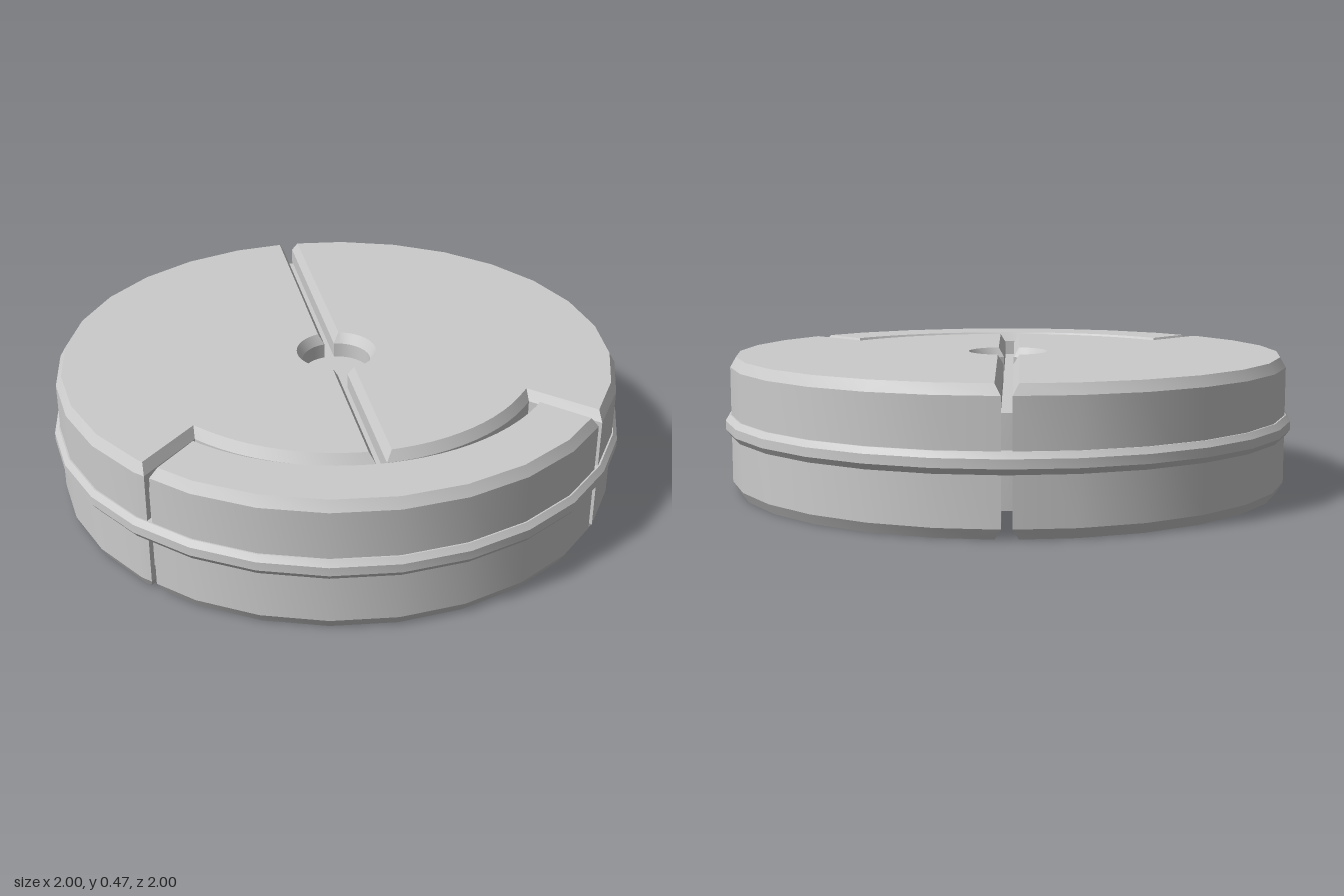
import * as THREE from 'three';
import { toCreasedNormals } from 'three/addons/utils/BufferGeometryUtils.js';

const SIDES = 28;
const STEP = (Math.PI * 2) / SIDES;
const RIM = 0.98;
const HEIGHT = 0.47;
const BEVEL_W = 0.02;
const BEVEL_H = 0.035;
const rad = THREE.MathUtils.degToRad;

// Point on the faceted rim at a given angle (0 = +x, 90 degrees = +z)
function rimPoint(a) {
  const off = a - (Math.floor(a / STEP) + 0.5) * STEP;
  const r = (RIM * Math.cos(STEP / 2)) / Math.cos(off);
  return new THREE.Vector2(r * Math.cos(a), r * Math.sin(a));
}

// Rim run from angle a down to angle b, with a corner at every facet edge
function rimRun(a, b) {
  const pts = [rimPoint(a)];
  for (let k = Math.floor(a / STEP); k * STEP > b; k--) {
    if (a - k * STEP > 0.01 && k * STEP - b > 0.01) pts.push(rimPoint(k * STEP));
  }
  pts.push(rimPoint(b));
  return pts;
}

function arc(r, a, b, n) {
  return Array.from({ length: n + 1 }, (_, i) => {
    const t = a + ((b - a) * i) / n;
    return new THREE.Vector2(r * Math.cos(t), r * Math.sin(t));
  });
}

// Bevelled slab from an outline in x, z
function slab(points) {
  const geo = new THREE.ExtrudeGeometry(new THREE.Shape(points), {
    depth: HEIGHT - 2 * BEVEL_H,
    bevelThickness: BEVEL_H,
    bevelSize: BEVEL_W,
    bevelOffset: -BEVEL_W,
    bevelSegments: 1,
  });
  geo.rotateX(Math.PI / 2);
  geo.translate(0, HEIGHT - BEVEL_H, 0);
  return toCreasedNormals(geo, rad(22));
}

// One half of the main disc; side is +1 for left, -1 for right
function halfOutline(side, gap, cornerAngle, rimAngle) {
  const edge = (r) => Math.acos(gap / r);
  const pts = [
    ...arc(0.715, edge(0.715), cornerAngle, 12),
    ...rimRun(rimAngle, -edge(RIM)),
    ...arc(0.12, -edge(0.12), edge(0.12), 16),
  ];
  return pts.map((p) => new THREE.Vector2(p.x * side, p.y));
}

export function createModel() {
  const group = new THREE.Group();
  const material = new THREE.MeshStandardMaterial({ color: 0xcccccc });
  const add = (name, geo) => {
    const mesh = new THREE.Mesh(geo, material);
    mesh.name = name;
    group.add(mesh);
  };

  // Two main halves separated by the straight groove and centre hole
  add('leftHalf', slab(halfOutline(1, 0.015, rad(36.9), rad(38.9))));
  add('rightHalf', slab(halfOutline(-1, 0.02, rad(38.9), rad(41))));

  // Curved segment along the front
  add('frontSegment', slab([
    ...arc(0.75, rad(38.9), rad(180 - 40.7), 24),
    ...rimRun(rad(180 - 42.2), rad(40.5)),
  ]));

  // Inner core forming the floor of the grooves and the hole
  const core = new THREE.CylinderGeometry(0.96, 0.96, 0.295, SIDES);
  core.translate(0, HEIGHT / 2, 0);
  add('core', toCreasedNormals(core, rad(22)));

  // Raised band around the middle of the rim
  const profile = [
    [0.95, 0.2], [0.985, 0.2], [1, 0.22], [1, 0.25], [0.985, 0.27], [0.95, 0.27], [0.95, 0.2],
  ].map(([x, y]) => new THREE.Vector2(x, y));
  add('rimBand', toCreasedNormals(new THREE.LatheGeometry(profile, SIDES), rad(22)));

  return group;
}
